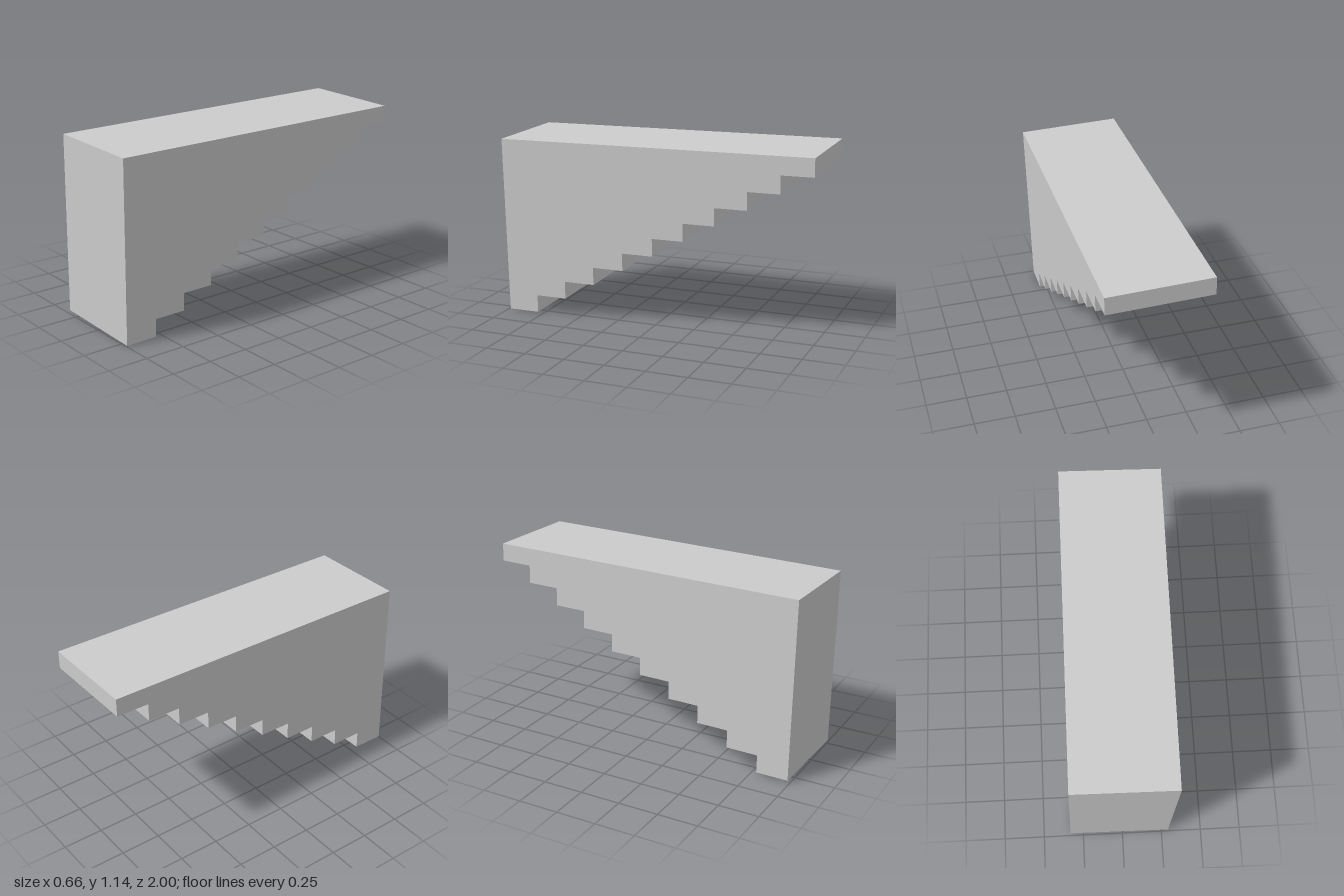
import * as THREE from 'three';

const STEPS = 10;
const WIDTH = 0.624;
const HEIGHT = 1.108;
const DEPTH = 1.9965;

export function createModel() {
  const group = new THREE.Group();
  group.name = 'invertedStaircase';

  // Side profile: flat top, upright front, stepped underside rising to the back
  const run = DEPTH / STEPS;
  const rise = HEIGHT / STEPS;
  const profile = new THREE.Shape();
  profile.moveTo(0, HEIGHT);
  profile.lineTo(0, 0);
  for (let i = 1; i <= STEPS; i++) {
    profile.lineTo(i * run, (i - 1) * rise);
    profile.lineTo(i * run, i * rise);
  }
  profile.closePath();

  // Extrude across the width, turn the run towards the back and centre it
  const geometry = new THREE.ExtrudeGeometry(profile, { depth: WIDTH, bevelEnabled: false });
  geometry.translate(-DEPTH / 2, -HEIGHT / 2, -WIDTH / 2);
  geometry.rotateY(Math.PI / 2);

  const stairs = new THREE.Mesh(
    geometry,
    new THREE.MeshStandardMaterial({ color: 0xcccccc, flatShading: true })
  );
  stairs.name = 'steppedBlock';

  // The block leans very slightly on all axes
  stairs.rotation.set(0.0077, -0.0056, -0.025);
  stairs.position.set(0, 0.569, -0.004);
  group.add(stairs);
  return group;
}
